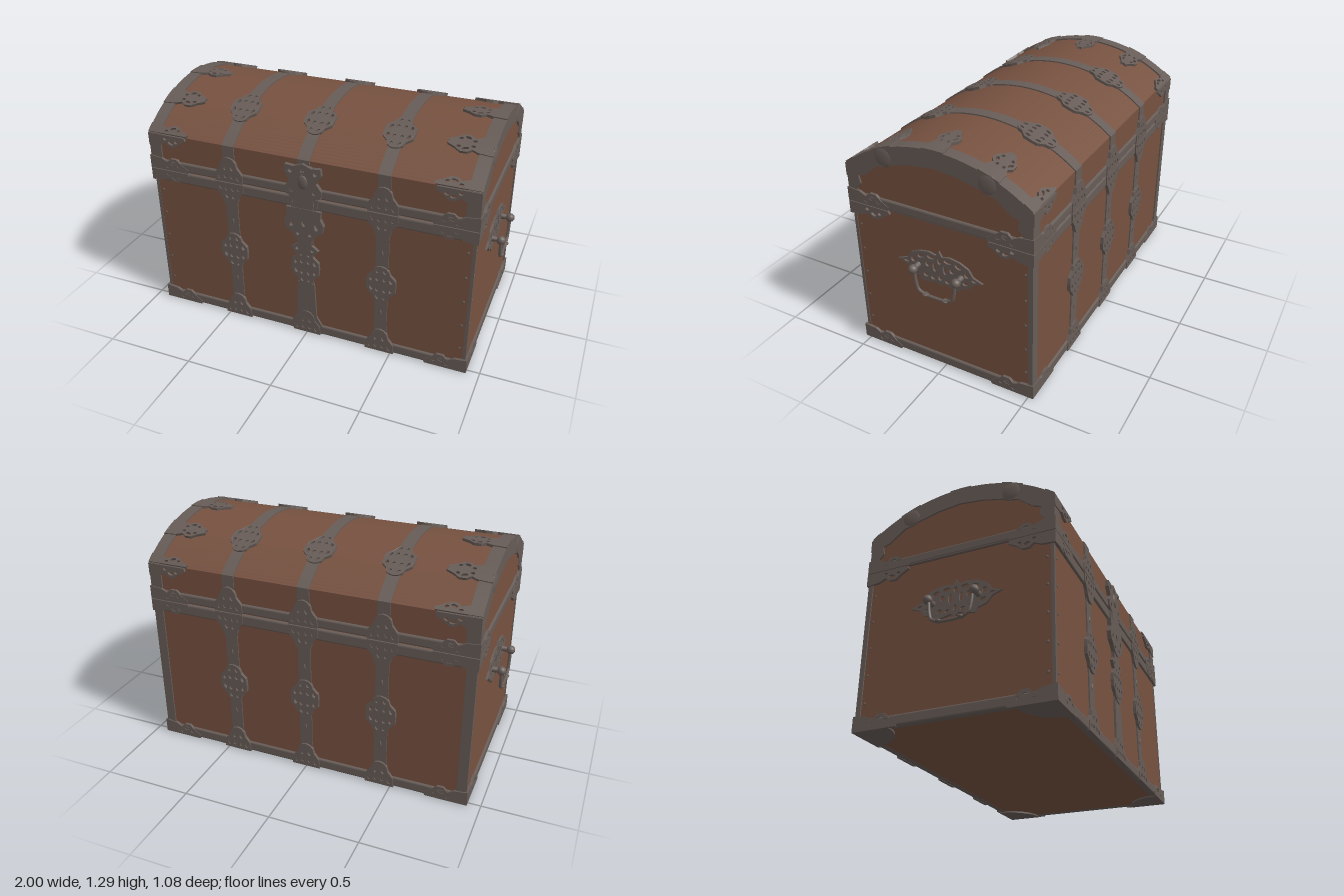
import * as THREE from 'three';
import { toCreasedNormals } from 'three/addons/utils/BufferGeometryUtils.js';
import { RoundedBoxGeometry } from 'three/addons/geometries/RoundedBoxGeometry.js';

const wood = new THREE.MeshStandardMaterial({ name: 'brown wood', color: 0x765140 });
const iron = new THREE.MeshStandardMaterial({ name: 'grey iron', color: 0x675c57 });

// Main sizes: half width, half depth, rim height, lid arc radius and centre
const HX = 0.915, HZ = 0.515, RIM = 0.885, R = 0.825, CY = 0.453;
const S = R * Math.asin(HZ / R); // arc length from the ridge to the lid shoulder

function add(parent, name, geo, mat, x = 0, y = 0, z = 0) {
  const mesh = new THREE.Mesh(geo, mat);
  mesh.name = name;
  mesh.position.set(x, y, z);
  parent.add(mesh);
  return mesh;
}

function box(parent, name, x0, x1, y0, y1, z0, z1, mat = iron, round = 0) {
  const w = x1 - x0, h = y1 - y0, d = z1 - z0;
  const geo = round ? new RoundedBoxGeometry(w, h, d, 3, round) : new THREE.BoxGeometry(w, h, d);
  return add(parent, name, geo, mat, (x0 + x1) / 2, (y0 + y1) / 2, (z0 + z1) / 2);
}

// Pierced sheet; holes are [x, y, rx, ry, angle]
function plate(points, holes, depth, sx = 1, sy = 1) {
  const shape = new THREE.Shape(points.map(([x, y]) => new THREE.Vector2(x * sx, y * sy)));
  for (const [x, y, rx, ry = rx, a = 0] of holes) {
    const p = new THREE.Path();
    p.absellipse(x * sx, y * sy, rx, ry, 0, Math.PI * 2, false, a * sx * sy);
    shape.holes.push(p);
  }
  return new THREE.ExtrudeGeometry(shape, { depth, bevelEnabled: false, curveSegments: 5 });
}
const mirrorX = (pts) => [...pts, ...pts.slice().reverse().filter((p) => p[0] > 0).map(([x, y]) => [-x, y])];

// Half of an oval rosette, flat edge on y = 0
const halfRosette = (sy, depth, k = 1) => plate(
  mirrorX([[0.083, 0], [0.08, 0.045], [0.05, 0.078], [0.042, 0.105], [0.025, 0.122], [0, 0.128]]).map(([x, y]) => [x, y * k]),
  [[0.055, 0.03, 0.009, 0.015, 0.3], [-0.055, 0.03, 0.009, 0.015, -0.3], [0.02, 0.035, 0.01, 0.013],
    [-0.02, 0.035, 0.01, 0.013], [0.02, 0.083, 0.008, 0.013, 0.4], [-0.02, 0.083, 0.008, 0.013, -0.4]], depth, 1, sy);

// Half of a pointed leaf running from a corner, flat edge on y = 0
const halfLeaf = (len, h, sx, sy, depth) => plate(
  [[0, 0], [0, 1], [0.3, 0.9], [0.45, 0.65], [0.55, 0.95], [0.7, 0.95], [0.82, 0.6], [1, 0.25], [0.97, 0]].map(([x, y]) => [x * len, y * h]),
  [[len * 0.6, h * 0.6, 0.018, h * 0.15, 0.3], [len * 0.75, h * 0.45, 0.012, h * 0.14, -0.3], [len * 0.45, h * 0.3, 0.012, h * 0.13]],
  depth, sx, sy);

// Bends a flat sheet over the lid, s is the distance from the ridge
function wrapLid(geo, s) {
  const p = geo.attributes.position;
  for (let i = 0; i < p.count; i++) {
    const a = (s - p.getY(i)) / R, r = R + p.getZ(i);
    p.setXYZ(i, p.getX(i), CY + r * Math.cos(a), r * Math.sin(a));
  }
  geo.computeVertexNormals();
  return geo;
}

// Lid section grown by o, extruded along x from x0 to x1
function arch(o, x0, x1, hole) {
  const h = HZ + o, r = R + o, a = Math.acos(h / r), shape = new THREE.Shape();
  shape.moveTo(-h, 0.89);
  shape.lineTo(h, 0.89);
  shape.absarc(0, CY, r, a, Math.PI - a, false);
  shape.closePath();
  if (hole) shape.holes.push(new THREE.Path(hole.map(([x, y]) => new THREE.Vector2(x, y))));
  const geo = new THREE.ExtrudeGeometry(shape, { depth: x1 - x0, bevelEnabled: false, curveSegments: 28 });
  geo.rotateY(Math.PI / 2).translate(x0, 0, 0);
  return toCreasedNormals(geo, 0.5);
}

// Fittings of one upright wall; local +z points outward
function wall(name, angle, half, dist, isSide) {
  const g = new THREE.Group();
  g.name = name;
  g.rotation.y = angle;
  const e = half + 0.012;
  box(g, 'bottomRail', -e, e, 0.006, 0.066, dist - 0.03, dist + 0.012, iron, 0.012);
  box(g, 'lidRail', -e, e, 0.89, 0.947, dist - 0.03, dist + 0.012, iron, 0.012);
  if (!isSide) box(g, 'bodyRail', -e, e, 0.818, RIM, dist - 0.03, dist + 0.012, iron, 0.012);
  const len = isSide ? 0.25 : 0.24;
  for (const s of [-1, 1]) {
    const corner = (n, y, h, sy) => add(g, n, halfLeaf(len, h, -s, sy, 0.015), iron, s * (e + 0.003), y, dist);
    corner('bottomCorner', 0.003, 0.082, 1);
    corner('bodyCorner', RIM, 0.07, -1);
    corner('lidCorner', 0.889, 0.076, 1);
    const nail = new THREE.SphereGeometry(0.008, 8, 6).scale(1, 1, 0.5);
    for (let i = 0; i < 5; i++) add(g, 'nail', nail, iron, s * (half - 0.035), 0.15 + i * 0.15, dist);
  }
  return g;
}

// Strap with rosettes down a long wall
function strap(g, x, w) {
  box(g, 'strap', x - w, x + w, 0.04, 0.85, HZ - 0.01, HZ + 0.007);
  const piece = (n, y, sy, k) => add(g, n, halfRosette(sy, 0.018, k), iron, x, y, HZ);
  piece('rosetteTop', 0.45, 1, 0.9);
  piece('rosetteBottom', 0.45, -1, 0.9);
  piece('strapFoot', 0.004, 1, 1.15);
  piece('strapHead', RIM, -1, 1.15);
  piece('lidStrapEnd', 0.89, 1, 1.15);
  for (const y of [0.26, 0.64]) add(g, 'strapStud', new THREE.SphereGeometry(0.011, 8, 6).scale(0.6, 1.8, 0.5), iron, x, y, HZ + 0.007);
}

// Drop handle with a pierced backplate
function handle(g) {
  const outline = [[0, 0.115], [0.018, 0.085], [0.06, 0.095], [0.12, 0.085], [0.17, 0.06], [0.195, 0.02], [0.25, 0],
    [0.2, -0.02], [0.17, -0.055], [0.125, -0.07], [0.11, -0.095], [0.06, -0.085], [0.02, -0.075], [0, -0.095]];
  const holes = [[0, 0.055, 0.012, 0.018], [0, -0.045, 0.012, 0.016]];
  for (const s of [-1, 1]) holes.push([s * 0.03, 0.012, 0.011, 0.028], [s * 0.05, 0.066, 0.022, 0.011], [s * 0.11, 0.056, 0.02, 0.012, s * -0.4],
    [s * 0.158, 0.022, 0.014, 0.016], [s * 0.15, -0.03, 0.018, 0.011, s * 0.4], [s * 0.085, -0.05, 0.015, 0.012], [s * 0.042, -0.056, 0.014, 0.011], [s * 0.072, 0.02, 0.013, 0.017], [s * 0.2, 0, 0.014, 0.007]);
  add(g, 'handlePlate', plate(mirrorX(outline), holes, 0.011), iron, 0, 0.62, HX);
  for (const s of [-1, 1]) {
    add(g, 'handlePost', new THREE.CylinderGeometry(0.011, 0.018, 0.06, 10).rotateX(Math.PI / 2), iron, s * 0.127, 0.62, 0.945);
    add(g, 'handleKnob', new THREE.SphereGeometry(0.025, 12, 8), iron, s * 0.127, 0.62, 0.975);
    add(g, 'handleCollar', new THREE.TorusGeometry(0.012, 0.006, 6, 10).rotateX(Math.PI / 2), iron, s * 0.06, 0.488, 0.975);
  }
  const path = new THREE.CatmullRomCurve3([[-0.12, 0.61], [-0.112, 0.54], [-0.1, 0.505], [-0.06, 0.487], [0, 0.483], [0.06, 0.487], [0.1, 0.505], [0.112, 0.54], [0.12, 0.61]]
    .map(([x, y]) => new THREE.Vector3(x, y, 0.975)));
  add(g, 'handleBail', new THREE.TubeGeometry(path, 32, 0.009, 8), iron);
}

// Lock plate, hasp and lower ornament on the middle front strap
function lock(g) {
  add(g, 'lockPlate', plate(mirrorX([[0, 0.62], [0.045, 0.635], [0.07, 0.665], [0.105, 0.69], [0.115, 0.735], [0.095, 0.775], [0.1, 0.82], [0, 0.825]]),
    [[0, 0.735, 0.012, 0.022], [0.07, 0.72, 0.01, 0.02, 0.3], [-0.07, 0.72, 0.01, 0.02, -0.3], [0.035, 0.665, 0.01], [-0.035, 0.665, 0.01]], 0.024), iron, 0, 0, HZ);
  add(g, 'hasp', plate(mirrorX([[0, 0.82], [0.06, 0.825], [0.055, 0.88], [0.1, 0.9], [0.105, 0.94], [0.075, 0.98], [0.105, 1.03], [0.1, 1.07], [0.05, 1.065], [0, 1.085]]),
    [[0.065, 0.925, 0.012], [-0.065, 0.925, 0.012], [0.07, 1.035, 0.012], [-0.07, 1.035, 0.012], [0, 1.04, 0.012, 0.018]], 0.022), iron, 0, 0, HZ);
  add(g, 'lockStaple', new THREE.SphereGeometry(0.03, 12, 8).scale(1, 1.4, 0.4), iron, 0, 0.98, HZ + 0.02);
  add(g, 'lockTail', plate(mirrorX([[0, 0.53], [0.055, 0.535], [0.08, 0.57], [0.04, 0.6], [0.045, 0.64], [0, 0.64]]), [[0.045, 0.565, 0.01], [-0.045, 0.565, 0.01]], 0.018), iron, 0, 0, HZ);
  add(g, 'lockSkirt', plate(mirrorX([[0.1, 0.01], [0.09, 0.07], [0.06, 0.12], [0.05, 0.34], [0, 0.36]]), [], 0.012), iron, 0, 0, HZ);
}

export function createModel() {
  const chest = new THREE.Group();
  chest.name = 'chest';
  box(chest, 'body', -HX, HX, 0.01, RIM, -HZ, HZ, wood);
  add(chest, 'lid', arch(0, -HX, HX), wood);

  // Upright walls
  const front = wall('frontFittings', 0, HX, HZ, false);
  const back = wall('backFittings', Math.PI, HX, HZ, false);
  const sides = [-1, 1].map((s) => wall(s > 0 ? 'leftFittings' : 'rightFittings', s * Math.PI / 2, HZ, HX, true));
  chest.add(front, back, ...sides);
  const strapX = [-0.437, 0, 0.437];
  for (const x of strapX) {
    strap(front, x, x === 0 ? 0.045 : 0.036);
    strap(back, x, 0.036);
    add(chest, 'lidStrap', arch(0.007, x - 0.034, x + 0.034), iron);
    for (const s of [-1, 1]) for (const sy of [-1, 1])
      add(chest, 'lidRosette', wrapLid(halfRosette(sy, 0.016, 0.85), s * 0.297), iron, x);
  }
  lock(front);
  sides.forEach(handle);

  // Lid end trim with scalloped inner edge, and leaves reaching over the lid
  const inner = [[0.475, 0.93], [0.47, 0.97], [0.445, 1.0], [0.455, 1.045], [0.41, 1.06], [0.33, 1.125], [0.285, 1.135], [0.25, 1.15], [0.13, 1.18], [0, 1.195]];
  const hole = mirrorX(inner);
  for (const s of [-1, 1]) {
    add(chest, 'lidEndTrim', arch(0.009, s > 0 ? 0.855 : -0.925, s > 0 ? 0.925 : -0.855, hole), iron);
    const leaf = (sc, sy, h = 0.06) => add(chest, 'lidLeaf', wrapLid(halfLeaf(0.24, h, -s, sy, 0.015), sc), iron, s * 0.925);
    for (const sc of [-0.3, 0, 0.3]) for (const sy of [-1, 1]) leaf(sc, sy);
    for (const z of [-1, 1]) {
      leaf(z * S, z, 0.055);
      add(z > 0 ? front : back, 'shoulderLeaf', halfLeaf(0.23, 0.07, -s, -1, 0.014), iron, s * 0.925, 1.1, HZ);
      const cup = add(chest, 'trimCup', new THREE.SphereGeometry(0.055, 14, 10).scale(0.2, 1, 1), iron, s * 0.92, 1.185, z * 0.29);
      cup.rotation.x = z * 0.35;
      // Underside corner plates
      const foot = new THREE.CylinderGeometry(0.2, 0.2, 0.012, 12, 1, false, 0, Math.PI / 2);
      foot.rotateY(s < 0 ? (z < 0 ? 0 : Math.PI / 2) : (z < 0 ? -Math.PI / 2 : Math.PI));
      add(chest, 'footPlate', foot, iron, s * 0.925, 0.006, z * 0.525);
    }
    // Corner edge strips
    box(chest, 'backEdgeStrip', s * 0.895 - 0.027, s * 0.895 + 0.027, 0.03, 0.86, -0.523, -0.497);
    box(chest, 'frontEdgeStrip', s * 0.91 - 0.009, s * 0.91 + 0.009, 0.03, 0.86, 0.5, 0.517);
  }
  return chest;
}
